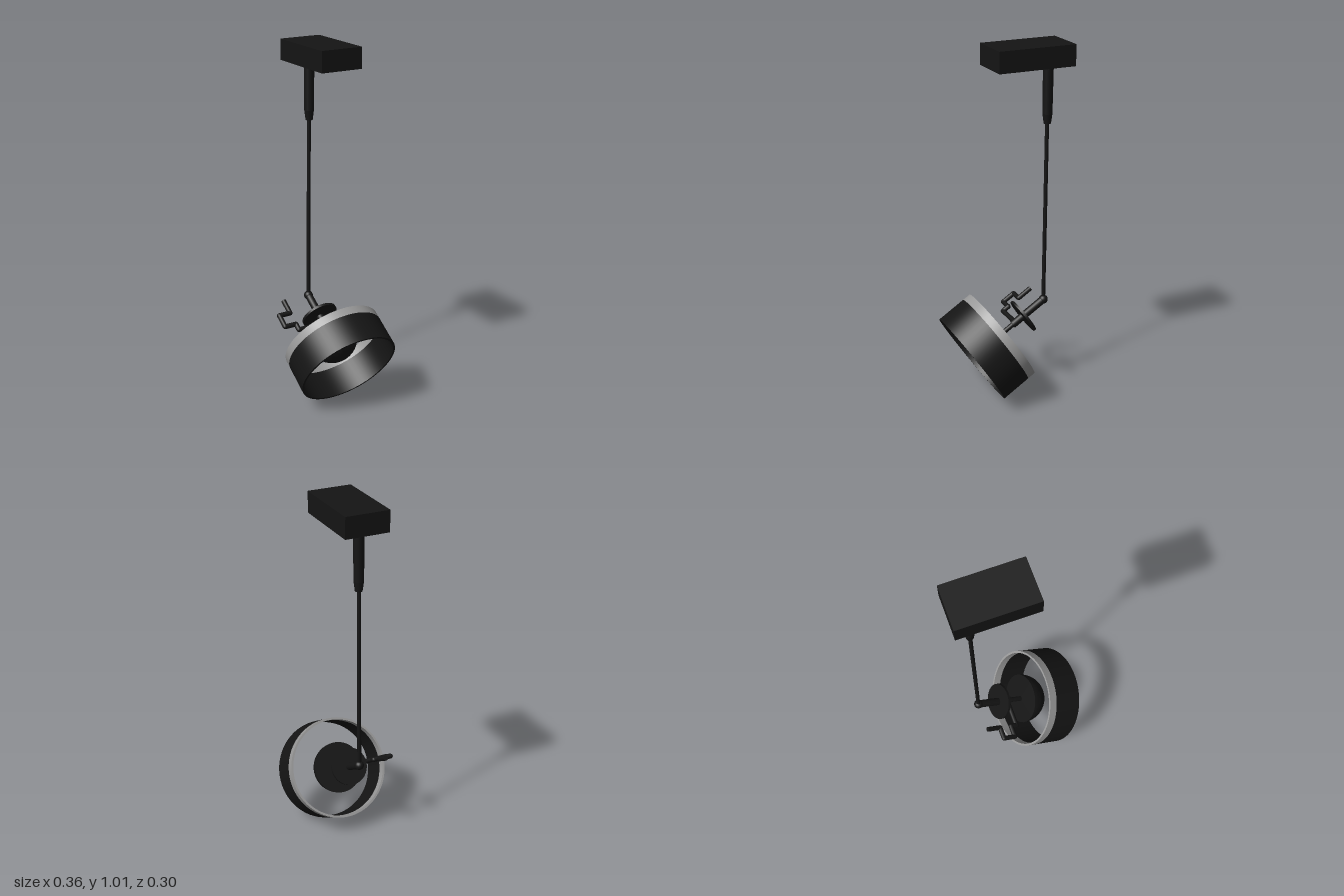
import * as THREE from 'three';
import { toCreasedNormals } from 'three/addons/utils/BufferGeometryUtils.js';

const black = new THREE.MeshStandardMaterial({ color: 0x151515 });
const grey = new THREE.MeshStandardMaterial({ color: 0x999999 });
const YAW = -0.135, TILT = -0.562;

function add(parent, name, geometry, material = black) {
  const mesh = new THREE.Mesh(geometry, material);
  mesh.name = name;
  parent.add(mesh);
  return mesh;
}

// Round bar between two points, r1 at the start and r2 at the end
function bar(parent, name, from, to, r1, r2 = r1, sides = 20) {
  const a = new THREE.Vector3(...from), b = new THREE.Vector3(...to);
  const mesh = add(parent, name, new THREE.CylinderGeometry(r2, r1, a.distanceTo(b), sides));
  mesh.position.copy(a).add(b).multiplyScalar(0.5);
  mesh.quaternion.setFromUnitVectors(new THREE.Vector3(0, 1, 0), b.sub(a).normalize());
  return mesh;
}

// Turned shape along local x; profile is [radius, x] with crisp edges
function turned(profile, segments = 64) {
  const points = profile.map(([r, x]) => new THREE.Vector2(r, x));
  const geometry = new THREE.LatheGeometry(points, segments).rotateZ(-Math.PI / 2);
  return toCreasedNormals(geometry, 0.6);
}

// Thin-walled band with square edges
const band = (x0, x1, outer, inner) =>
  turned([[inner, x0], [outer, x0], [outer, x1], [inner, x1], [inner, x0]]);

export function createModel() {
  const model = new THREE.Group();
  model.name = 'pendantSpotlight';

  // Ceiling box
  const canopy = add(model, 'ceilingBox', new THREE.BoxGeometry(0.22, 0.058, 0.122));
  canopy.position.set(-0.884, 0.986, -0.017);
  canopy.rotation.y = YAW;

  // Hanging sleeve and rod
  bar(model, 'sleeve', [-0.944, 0.958, -0.025], [-0.944, 0.82, -0.024], 0.0145, 0.0135);
  bar(model, 'sleeveTip', [-0.944, 0.82, -0.024], [-0.944, 0.793, -0.024], 0.0135, 0.010);
  bar(model, 'rod', [-0.944, 0.793, -0.023], [-0.944, 0.268, -0.0175], 0.0055);

  // Tilted head: local x is the lamp axis, the origin is the joint
  const head = new THREE.Group();
  head.name = 'lampHead';
  head.position.set(-0.944, 0.268, -0.0175);
  head.rotation.set(0, YAW, TILT);
  model.add(head);

  add(head, 'joint', new THREE.SphereGeometry(0.013, 20, 14));
  bar(head, 'arm', [0, 0, 0], [0.115, 0, 0], 0.011);
  bar(head, 'armTip', [0.115, 0, 0], [0.16, 0, 0], 0.007);
  bar(head, 'armDisc', [0.072, 0, 0], [0.079, 0, 0], 0.053, 0.053, 40);

  // Cranked handle beside the arm
  const crank = [[0, 0.083], [0.045, 0.083], [0.045, 0.118], [0.085, 0.118],
    [0.085, 0.083], [0.105, 0.083], [0.105, 0]];
  for (let i = 1; i < crank.length; i++) {
    const [x0, z0] = crank[i - 1], [x1, z1] = crank[i];
    bar(head, 'crankBar', [x0, 0, z0], [x1, 0, z1], 0.007, 0.007, 12);
    add(head, 'crankElbow', new THREE.SphereGeometry(0.007, 12, 8)).position.set(x1, 0, z1);
  }

  // Domed lamp body with a flat back
  const dome = [[0, 0.156]];
  for (let i = 0; i <= 16; i++) {
    const t = (i / 16) * Math.PI / 2;
    dome.push([0.073 * Math.cos(t), 0.156 + 0.073 * Math.sin(t)]);
  }
  add(head, 'dome', turned(dome, 48));

  // Open ring shade with a pale rear rim
  add(head, 'rearRim', band(0.156, 0.18, 0.145, 0.139), grey);
  add(head, 'shade', band(0.18, 0.267, 0.145, 0.139));

  return model;
}
